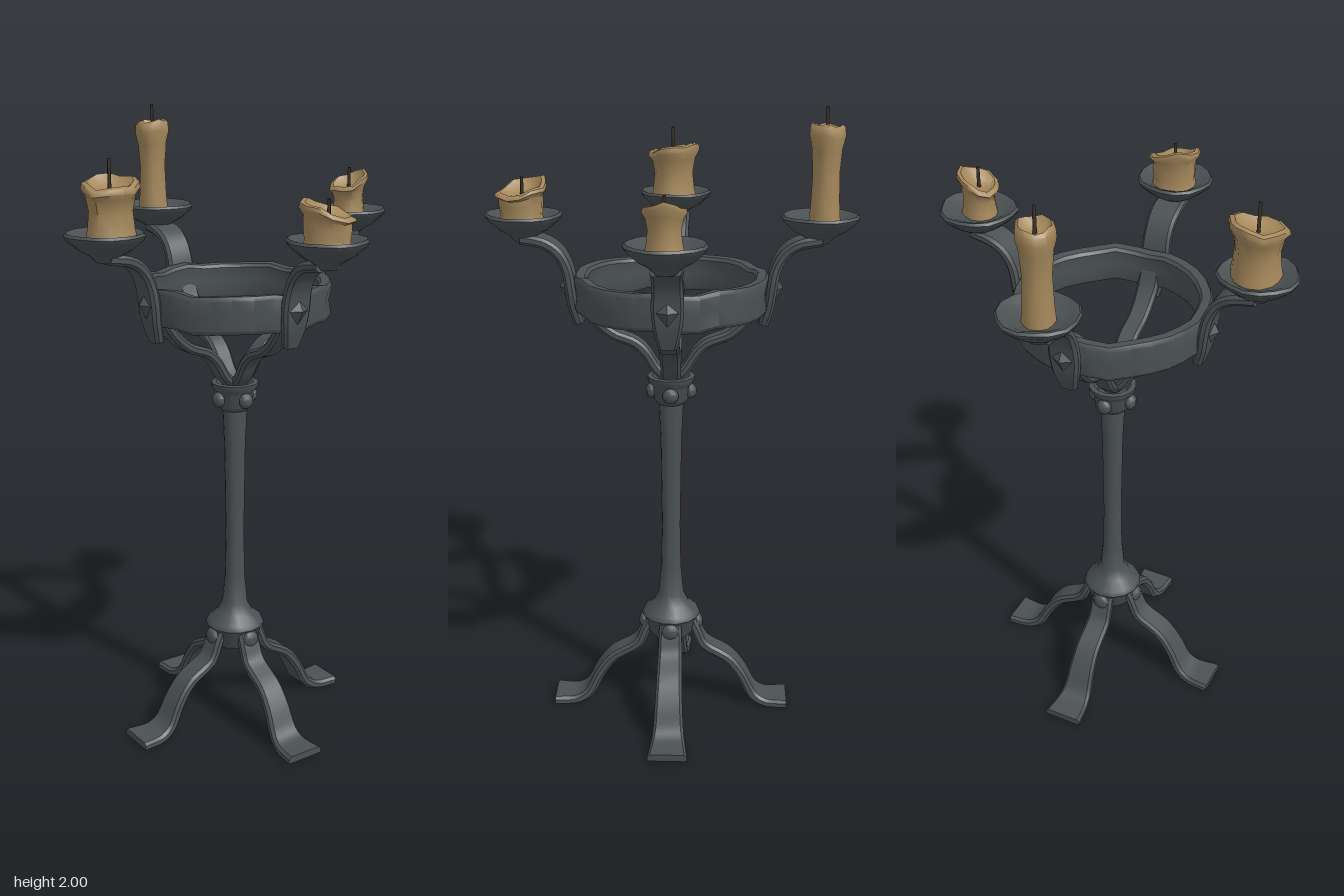
import * as THREE from 'three';
import { toCreasedNormals } from 'three/addons/utils/BufferGeometryUtils.js';

const iron = new THREE.MeshStandardMaterial({ color: 0x4b5153 });
iron.name = 'dark iron';
const wax = new THREE.MeshStandardMaterial({ color: 0xa5885c });
wax.name = 'tan wax';
const wickBrown = new THREE.MeshStandardMaterial({ color: 0x3b3329 });
wickBrown.name = 'burnt wick';

function part(name, geometry, material, parent) {
  const mesh = new THREE.Mesh(geometry, material);
  mesh.name = name;
  parent.add(mesh);
  return mesh;
}

// Turned shape; warp(v, angle) may dent it by a rule
function turned(profile, sides, warp, crease = 0.75) {
  const geo = new THREE.LatheGeometry(profile.map(([r, y]) => new THREE.Vector2(r, y)), sides);
  if (warp) {
    const pos = geo.attributes.position;
    const v = new THREE.Vector3();
    for (let i = 0; i < pos.count; i++) {
      v.fromBufferAttribute(pos, i);
      warp(v, Math.atan2(v.z, v.x));
      pos.setXYZ(i, v.x, v.y, v.z);
    }
  }
  return toCreasedNormals(geo, crease);
}

// Forged flat bar along points [radius, height, halfWidth], bevelled section
function strap(points, thickness, steps) {
  const curve = new THREE.CatmullRomCurve3(points.map((p) => new THREE.Vector3(...p)));
  const h = thickness / 2, c = thickness * 0.28;
  const verts = [], index = [];
  for (let j = 0; j <= steps; j++) {
    const p = curve.getPoint(j / steps);
    const t = curve.getTangent(j / steps);
    const len = Math.hypot(t.x, t.y);
    const nx = -t.y / len, ny = t.x / len, w = p.z;
    const section = [[h, -w + c], [h, w - c], [h - c, w], [c - h, w],
      [-h, w - c], [-h, c - w], [c - h, -w], [h - c, -w]];
    for (const [n, z] of section) verts.push(p.x + nx * n, Math.max(0, p.y + ny * n), z);
  }
  for (let j = 0; j < steps; j++) {
    for (let i = 0; i < 8; i++) {
      const a = j * 8 + i, b = j * 8 + (i + 1) % 8;
      index.push(a, b, b + 8, a, b + 8, a + 8);
    }
  }
  for (let i = 1; i < 7; i++) {
    const e = steps * 8;
    index.push(0, i + 1, i, e, e + i, e + i + 1);
  }
  const geo = new THREE.BufferGeometry();
  geo.setAttribute('position', new THREE.Float32BufferAttribute(verts, 3));
  geo.setIndex(index);
  return toCreasedNormals(geo, 0.7);
}

function rivet(name, x, y, size, parent) {
  const mesh = part(name, toCreasedNormals(new THREE.SphereGeometry(1, 8, 5), 0.9), iron, parent);
  mesh.scale.set(...size);
  mesh.position.set(x, y, 0);
}

// Candle with a flared, tilted, melted rim; tilt = rise towards +x and +z
function candle({ x, z, r, height, waist, tilt, wick, seed }) {
  const group = new THREE.Group();
  group.name = 'candle';
  group.position.set(x, 1.655, z);
  const profile = [[0, 0], [r * 0.88, 0], [r * 0.8, height * 0.2], [r * waist, height * 0.5],
    [r * 0.84, height * 0.75], [r, height * 0.88], [r * 0.96, height * 0.97], [r * 0.8, height],
    [r * 0.55, height - 0.02], [0, height - 0.027]];
  const body = turned(profile, 12, (v, a) => {
    const k = v.y / height;
    const rr = Math.hypot(v.x, v.z) / r;
    const dent = 1 + 0.05 * Math.sin(3 * a + seed) + 0.03 * Math.sin(5 * a + 2 * seed);
    v.y += k * k * rr * (tilt[0] * Math.cos(a) + tilt[1] * Math.sin(a) + 0.006 * Math.sin(4 * a + seed));
    v.x *= dent;
    v.z *= dent;
  }, 0.9);
  part('candleWax', body, wax, group);
  const base = height - 0.04;
  const stem = part('wick', new THREE.CylinderGeometry(0.005, 0.006, wick - base, 5), wickBrown, group);
  stem.position.y = (wick + base) / 2;
  return group;
}

export function createModel() {
  const model = new THREE.Group();
  model.name = 'candelabrum';

  // Central pole with flared foot and collar
  part('pole', turned([[0, 0.255], [0.065, 0.255], [0.08, 0.275], [0.085, 0.315], [0.097, 0.33],
    [0.09, 0.347], [0.06, 0.37], [0.042, 0.405], [0.033, 0.5], [0.03, 0.65], [0.034, 0.95],
    [0.04, 1.085], [0, 1.085]], 14), iron, model);
  part('collar', turned([[0, 1.075], [0.042, 1.075], [0.056, 1.09], [0.06, 1.135], [0.074, 1.15],
    [0.076, 1.166], [0.06, 1.168], [0.045, 1.15], [0, 1.15]], 14), iron, model);

  // Hammered hoop
  part('hoop', turned([[0.266, 1.385], [0.292, 1.383], [0.3, 1.395], [0.293, 1.44], [0.302, 1.485],
    [0.295, 1.497], [0.268, 1.495], [0.26, 1.485], [0.266, 1.44], [0.26, 1.395], [0.266, 1.385]], 30,
    (v, a) => { v.y += 0.004 * Math.sin(7 * a) + 0.003 * Math.sin(11 * a + 1); }), iron, model);

  // Four identical sides: leg, inner brace, outer arm, drip pan
  const leg = strap([[0.055, 0.335, 0.034], [0.083, 0.28, 0.038], [0.11, 0.222, 0.04],
    [0.195, 0.168, 0.042], [0.24, 0.11, 0.045], [0.28, 0.035, 0.05], [0.32, 0.01, 0.056],
    [0.395, 0.008, 0.064]], 0.032, 24);
  const brace = strap([[0, 1.15, 0.03], [0.045, 1.19, 0.031], [0.08, 1.245, 0.032], [0.115, 1.277, 0.032],
    [0.18, 1.303, 0.032], [0.225, 1.34, 0.033], [0.26, 1.385, 0.035], [0.278, 1.43, 0.035]], 0.03, 22);
  const arm = strap([[0.287, 1.338, 0.028], [0.304, 1.4, 0.042], [0.311, 1.455, 0.048],
    [0.322, 1.515, 0.046], [0.348, 1.563, 0.046], [0.39, 1.592, 0.048], [0.46, 1.605, 0.045]], 0.032, 20);
  const pan = turned([[0, 1.592], [0.03, 1.594], [0.045, 1.612], [0.08, 1.632], [0.112, 1.66],
    [0.119, 1.673], [0.113, 1.681], [0.09, 1.672], [0.07, 1.66], [0, 1.657]], 16, (v, a) => {
    const dent = 1 + 0.025 * Math.sin(5 * a + 0.6) + 0.015 * Math.sin(3 * a);
    v.x *= dent;
    v.z *= dent;
  });
  for (let i = 0; i < 4; i++) {
    const side = new THREE.Group();
    side.name = 'side';
    side.rotation.y = i * Math.PI / 2;
    model.add(side);
    part('leg', leg, iron, side);
    part('brace', brace, iron, side);
    part('arm', arm, iron, side);
    part('dripPan', pan, iron, side).position.x = 0.453;
    rivet('legRivet', 0.09, 0.297, [0.018, 0.03, 0.03], side);
    rivet('collarRivet', 0.062, 1.115, [0.02, 0.026, 0.026], side);
    const stud = part('hoopStud', new THREE.OctahedronGeometry(1), iron, side);
    stud.scale.set(0.026, 0.045, 0.042);
    stud.position.set(0.321, 1.452, 0);
  }

  // Four candles burnt to different heights
  const candles = [
    { x: -0.44, z: 0.008, r: 0.086, height: 0.17, waist: 0.74, tilt: [0.01, -0.014], wick: 0.235, seed: 0.5 },
    { x: 0.447, z: 0.003, r: 0.063, height: 0.118, waist: 0.74, tilt: [0.03, 0], wick: 0.155, seed: 2 },
    { x: 0.003, z: 0.453, r: 0.081, height: 0.108, waist: 0.85, tilt: [-0.02, -0.02], wick: 0.135, seed: 3.6 },
    { x: -0.007, z: -0.465, r: 0.055, height: 0.292, waist: 0.74, tilt: [0.003, 0.004], wick: 0.345, seed: 1.2 },
  ];
  for (const c of candles) model.add(candle(c));
  return model;
}
